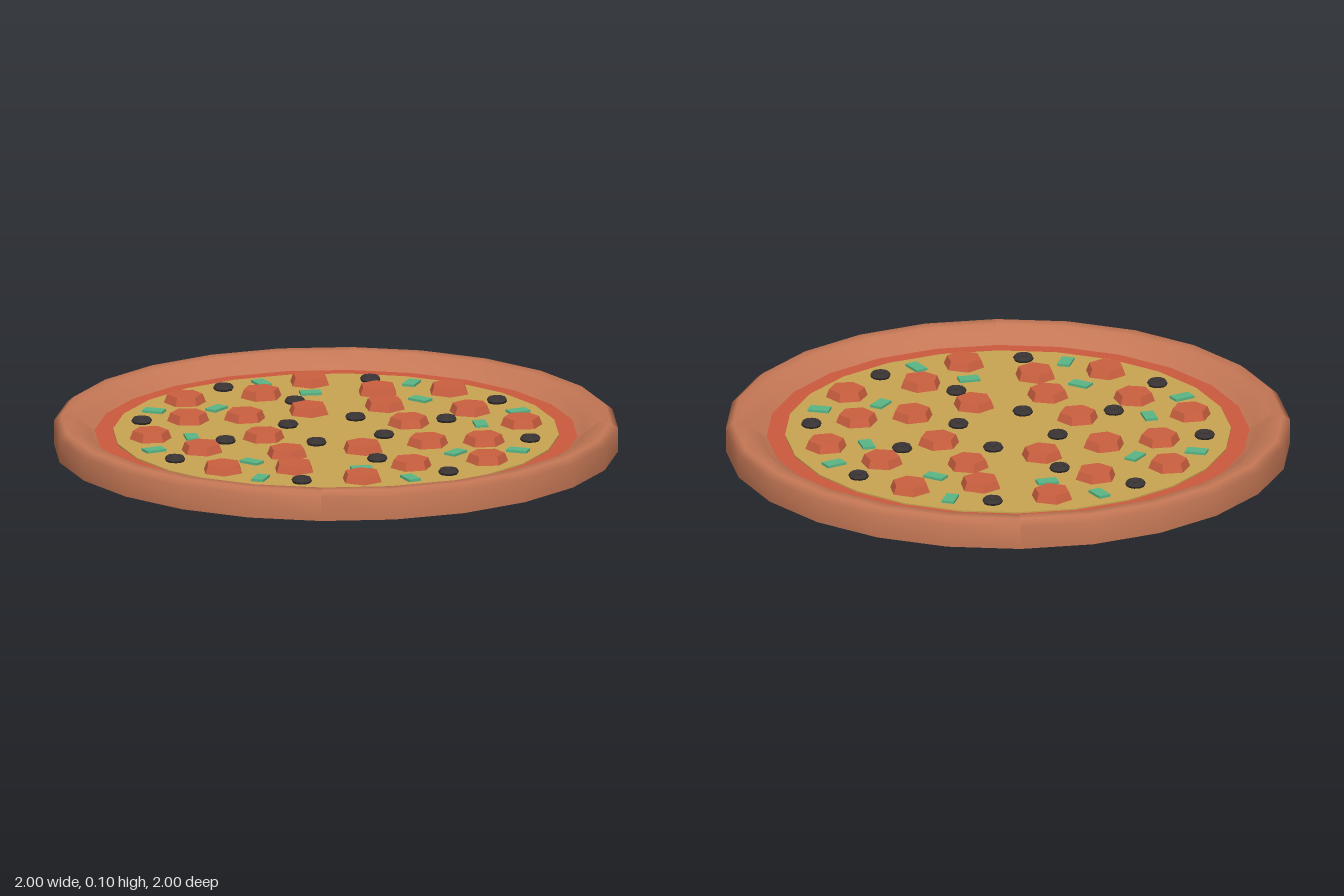
import * as THREE from 'three';

const paint = (name, color, flatShading = false) => {
  const m = new THREE.MeshStandardMaterial({ color, flatShading });
  m.name = name;
  return m;
};

export function createModel() {
  const crust = paint('baked crust', 0xc47755);
  const sauce = paint('tomato sauce', 0xcc5b3d);
  const cheese = paint('melted cheese', 0xcaa552);
  const sausage = paint('sausage', 0xcc6040, true);
  const olive = paint('black olive', 0x3a3434, true);
  const pepper = paint('green pepper', 0x5ab686, true);

  const pizza = new THREE.Group();
  pizza.name = 'pizza';
  const add = (parent, name, geometry, material, x, y, z, turn = 0) => {
    const mesh = new THREE.Mesh(geometry, material);
    mesh.name = name;
    mesh.position.set(x, y, z);
    mesh.rotation.y = turn;
    parent.add(mesh);
  };

  // Flat layers
  add(pizza, 'underside', new THREE.CircleGeometry(1, 24).rotateX(Math.PI / 2), crust, 0, 0, 0);
  add(pizza, 'sauceLayer', new THREE.CylinderGeometry(0.86, 0.86, 0.04, 24), sauce, 0, 0.033, 0);
  add(pizza, 'cheeseLayer', new THREE.CylinderGeometry(0.79, 0.79, 0.03, 24), cheese, 0, 0.043, 0);

  // Quarter of the rim, smooth within itself
  const profile = [[1, 0], [1, 0.085], [0.975, 0.105], [0.93, 0.104], [0.88, 0.066], [0.85, 0.05]];
  const rim = new THREE.LatheGeometry(
    profile.map(([r, y]) => new THREE.Vector2(r, y)), 6, -Math.PI / 4, Math.PI / 2);
  rim.computeVertexNormals();

  // Shared topping shapes
  const slice = new THREE.CylinderGeometry(0.063, 0.075, 0.03, 6);
  const ring = new THREE.TorusGeometry(0.025, 0.012, 6, 10).rotateX(Math.PI / 2);
  const strip = new THREE.BoxGeometry(0.075, 0.01, 0.045);

  // Toppings of one quarter: x, z and turn in degrees
  const slices = [[-0.13, -0.655, -8], [0.12, -0.53, 3], [0.37, -0.55, 25],
    [-0.29, -0.46, -8], [-0.125, -0.345, 0], [0.1, -0.255, 26]];
  const rings = [[0.085, -0.69], [-0.43, -0.55], [0.153, -0.388], [-0.08, -0.165]];
  const strips = [[-0.3, -0.63, -61], [0.235, -0.655, -106], [-0.115, -0.505, 12], [0.275, -0.44, -33]];

  // Four identical quarters
  for (let i = 0; i < 4; i++) {
    const quarter = new THREE.Group();
    quarter.name = 'quarter' + (i + 1);
    quarter.rotation.y = -i * Math.PI / 2;
    add(quarter, 'crustRim', rim, crust, 0, 0, 0);
    for (const [x, z, a] of slices)
      add(quarter, 'sausageSlice', slice, sausage, x, 0.073, z, THREE.MathUtils.degToRad(a));
    for (const [x, z] of rings)
      add(quarter, 'oliveRing', ring, olive, x, 0.066, z);
    for (const [x, z, a] of strips)
      add(quarter, 'pepperStrip', strip, pepper, x, 0.062, z, THREE.MathUtils.degToRad(a));
    pizza.add(quarter);
  }
  return pizza;
}
